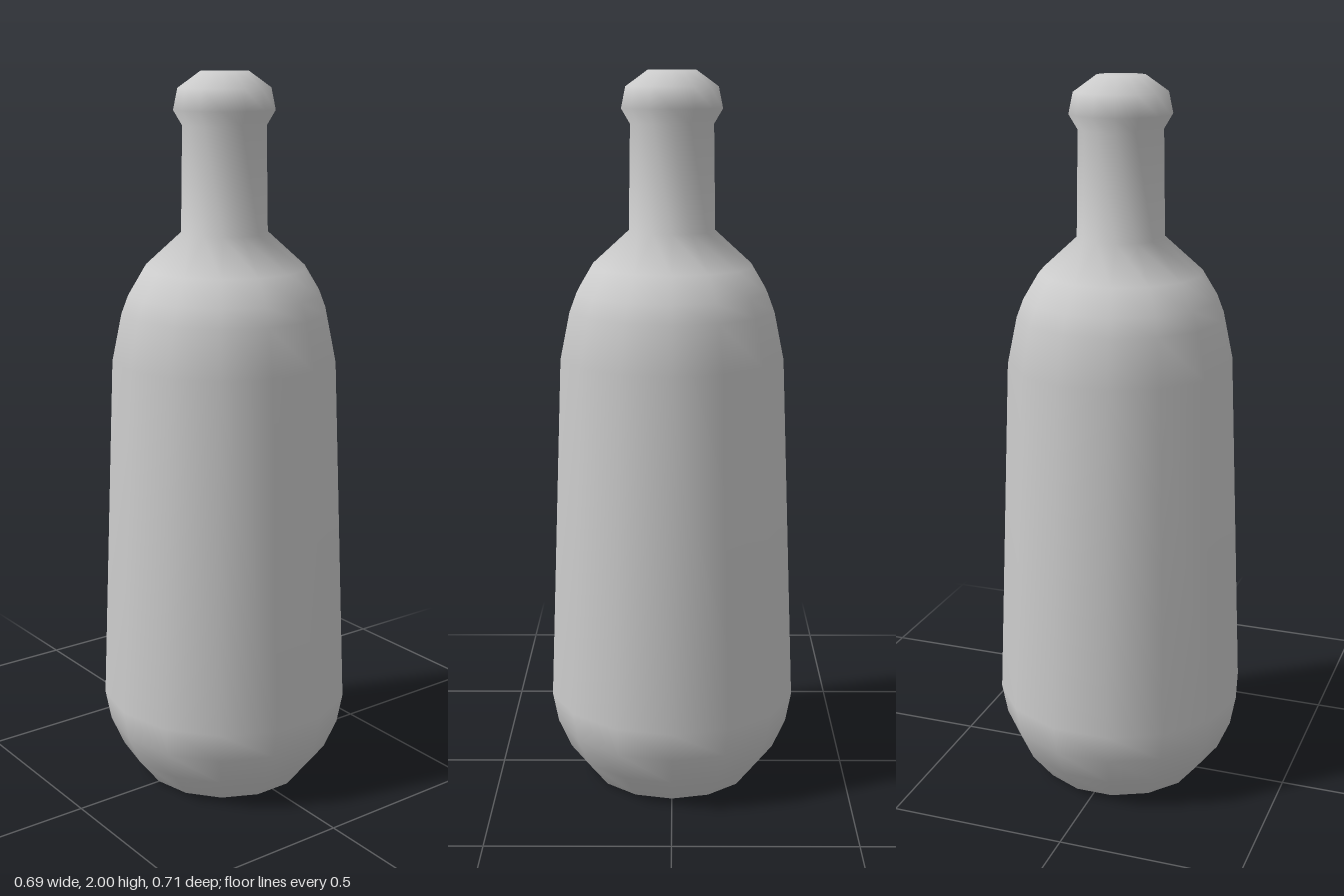
import * as THREE from 'three';

const SIDES = 14;

export function createModel() {
  const group = new THREE.Group();
  const material = new THREE.MeshStandardMaterial({ color: 0xcccccc });

  // Bottle wall: radius and height, from the base up to the closed lip
  const profile = [
    [0.237, 0], [0.3, 0.08], [0.337, 0.165], [0.353, 0.25], // rounded foot
    [0.313, 1.23], [0.286, 1.36], [0.267, 1.41], [0.225, 1.48], [0.12, 1.575], // tapered body, shoulder
    [0.115, 1.86], // neck
    [0.139, 1.9], [0.127, 1.957], [0.066, 2], [0, 2], // lip
  ].map(([r, y]) => new THREE.Vector2(r, y));
  const bottle = new THREE.Mesh(new THREE.LatheGeometry(profile, SIDES), material);
  bottle.name = 'bottle';
  group.add(bottle);

  // Flat underside with a sharp rim
  const baseGeometry = new THREE.CircleGeometry(0.237, SIDES, Math.PI / 2);
  baseGeometry.rotateX(Math.PI / 2);
  const base = new THREE.Mesh(baseGeometry, material);
  base.name = 'base';
  group.add(base);

  return group;
}
